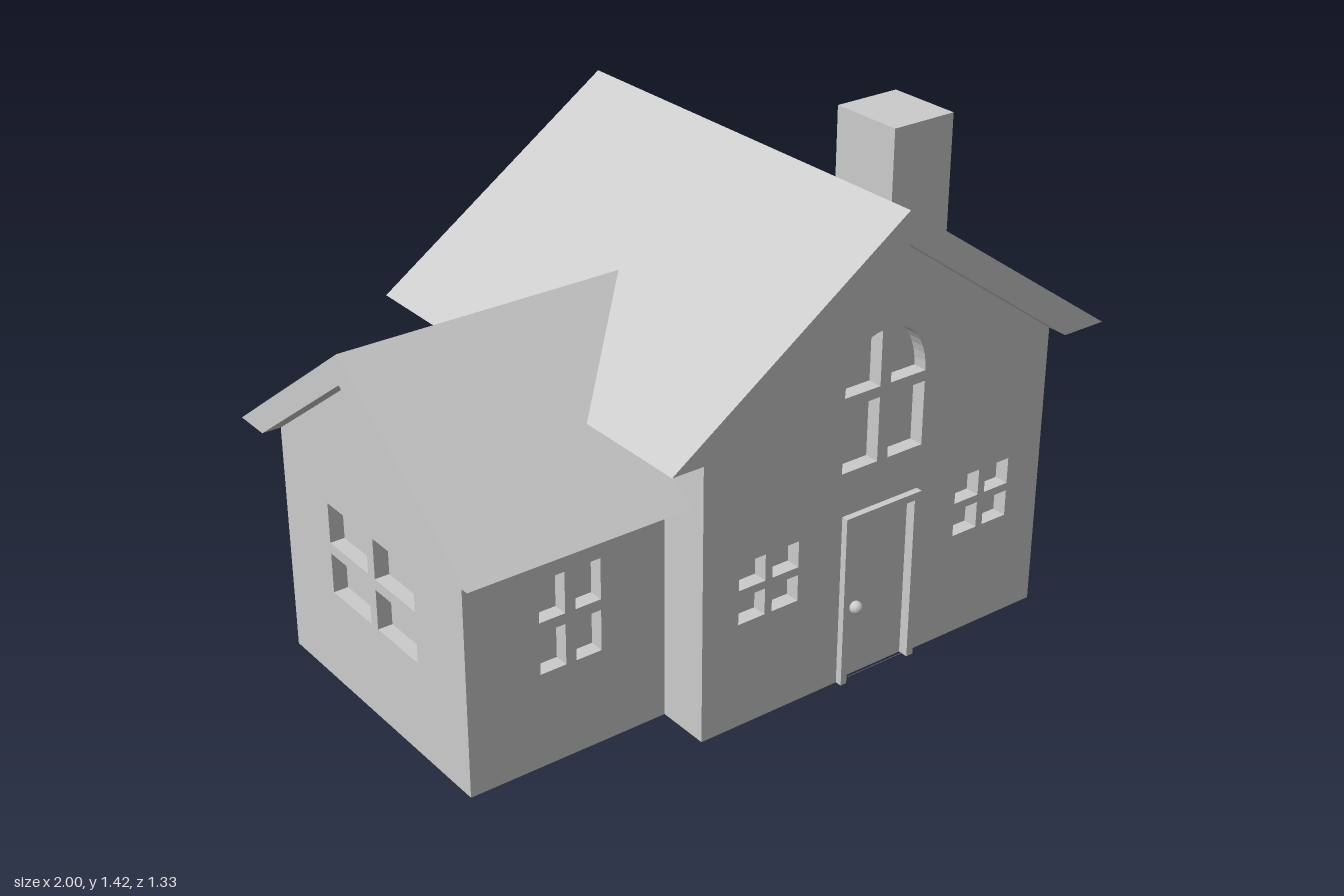
import * as THREE from 'three';

const material = new THREE.MeshStandardMaterial({ color: 0xcccccc, flatShading: true, side: THREE.DoubleSide });
const vec = (pts) => pts.map(([x, y]) => new THREE.Vector2(x, y));
const rect = (x0, y0, x1, y1) => [[x0, y0], [x1, y0], [x1, y1], [x0, y1]];

function mesh(name, geometry, x = 0, y = 0, z = 0) {
  const m = new THREE.Mesh(geometry, material);
  m.name = name;
  m.position.set(x, y, z);
  return m;
}

// Four-pane window: a list of pane outlines plus the outline of its casing
function fourPane(cx, cy, w, h, bar = 0.022) {
  const panes = [];
  for (const sx of [-1, 1]) for (const sy of [-1, 1]) {
    const xs = [cx + sx * bar / 2, cx + sx * w / 2].sort((a, b) => a - b);
    const ys = [cy + sy * bar / 2, cy + sy * h / 2].sort((a, b) => a - b);
    panes.push(rect(xs[0], ys[0], xs[1], ys[1]));
  }
  return { panes, casing: rect(cx - w / 2 - 0.015, cy - h / 2 - 0.015, cx + w / 2 + 0.015, cy + h / 2 + 0.015) };
}

// Arched window: two square panes below two quarter-round panes
function archWindow(cx) {
  const panes = [];
  const arc = (s, x, y, rx, ry, n = 10) => Array.from({ length: n + 1 }, (_, i) => {
    const a = (i / n) * Math.PI / 2;
    return [x + s * rx * Math.cos(a), y + ry * Math.sin(a)];
  });
  for (const s of [-1, 1]) {
    const inner = cx + s * 0.017, outer = cx + s * 0.14;
    panes.push(rect(Math.min(inner, outer), 0.645, Math.max(inner, outer), 0.835));
    panes.push([[inner, 0.865], ...arc(s, inner, 0.865, 0.123, 0.16)]);
  }
  const casing = [[cx - 0.15, 0.635], [cx + 0.15, 0.635],
    ...arc(1, cx, 0.865, 0.15, 0.172), ...arc(-1, cx, 0.865, 0.15, 0.172).reverse().slice(1)];
  return { panes, casing };
}

// Thin wall facing local +z, with window recesses set into its inner side
function wall(name, outline, windows = [], extraHoles = []) {
  const group = new THREE.Group();
  group.name = name;
  const shape = new THREE.Shape(vec(outline));
  for (const h of [...windows.flatMap((w) => w.panes), ...extraHoles]) shape.holes.push(new THREE.Path(vec(h)));
  group.add(mesh(name + 'Surface', new THREE.ShapeGeometry(shape)));
  for (const w of windows) {
    const frame = new THREE.Shape(vec(w.casing));
    w.panes.forEach((p) => frame.holes.push(new THREE.Path(vec(p))));
    group.add(mesh('windowCasing', new THREE.ExtrudeGeometry(frame, { depth: 0.043, bevelEnabled: false }), 0, 0, -0.045));
    group.add(mesh('windowPane', new THREE.ShapeGeometry(new THREE.Shape(vec(w.casing))), 0, 0, -0.045));
  }
  return group;
}

function place(object, x, z, turn = 0) {
  object.position.set(x, 0, z);
  object.rotation.y = turn;
  return object;
}

// Gabled roof slab: outer triangle minus the inner one, level at the eaves
function roofGeometry(outer, inner, eave, ridge, innerRidge, depth, cx = 0) {
  const shape = new THREE.Shape(vec([
    [cx - outer, eave], [cx - inner, eave], [cx, innerRidge],
    [cx + inner, eave], [cx + outer, eave], [cx, ridge]]));
  return new THREE.ExtrudeGeometry(shape, { depth, bevelEnabled: false });
}

export function createModel() {
  const house = new THREE.Group();
  house.name = 'house';

  // Main block
  const left = -0.335, right = 0.855, mid = 0.26, front = 0.605, back = -0.59;
  const gable = [[left, 0], [right, 0], [right, 0.86], [mid, 1.28], [left, 0.86]];
  const small = (x) => fourPane(x, 0.405, 0.2, 0.182);
  const doorway = rect(0.14, 0.002, 0.375, 0.502);
  house.add(place(wall('frontWall', gable, [small(-0.118), small(0.636), archWindow(mid)], [doorway]), 0, front));
  house.add(place(wall('backWall', gable.map(([x, y]) => [-x, y]), [small(-0.572), small(0.057)]), 0, back, Math.PI));
  house.add(place(wall('rightWall', rect(-front, 0, -back, 0.86), [small(-0.327), small(0.314)]), right, 0, Math.PI / 2));

  // Wall on either side of the opening into the wing
  for (const [s, edge] of [[1, front], [-1, -back]]) {
    const outline = [[edge, 0], [0.445, 0], [0.445, 0.68], [0.2, 0.86], [edge, 0.86]].map(([z, y]) => [s * z, y]);
    house.add(place(wall('innerSideWall', outline), left, 0, -Math.PI / 2));
  }
  house.add(mesh('mainRoof', roofGeometry(0.738, 0.595, 0.86, 1.37, 1.28, 1.33, mid), 0, 0, -0.665));

  // Side wing
  const end = -0.945, half = 0.445;
  house.add(place(wall('wingFrontWall', rect(end, 0, left, 0.68), [fourPane(-0.63, 0.417, 0.19, 0.275, 0.03)]), 0, half));
  house.add(place(wall('wingBackWall', rect(-left, 0, -end, 0.68), [fourPane(0.63, 0.417, 0.19, 0.275, 0.03)]), 0, -half, Math.PI));
  house.add(place(wall('wingEndWall', [[-half, 0], [half, 0], [half, 0.68], [0, 1], [-half, 0.68]],
    [fourPane(0, 0.417, 0.43, 0.275, 0.03)]), end, 0, -Math.PI / 2));

  // Wing roof, its inner end slanted to die into the main roof
  const wingRoof = roofGeometry(0.56, half, 0.68, 1.085, 1.0, 0.665);
  wingRoof.rotateY(Math.PI / 2).translate(-1, 0, 0);
  const p = wingRoof.attributes.position;
  for (let i = 0; i < p.count; i++) {
    if (p.getX(i) > -0.5) p.setX(i, left + ((p.getY(i) - 0.68) / 0.405) * 0.185);
  }
  wingRoof.computeVertexNormals();
  house.add(mesh('wingRoof', wingRoof));

  // Chimney, its foot cut to the roof slope
  const chimney = new THREE.BoxGeometry(0.21, 0.4, 0.23).translate(0.63, 1.22, 0.195);
  const c = chimney.attributes.position;
  for (let i = 0; i < c.count; i++) {
    if (c.getY(i) < 1.2) c.setY(i, 1.37 - 0.69 * (c.getX(i) - mid) - 0.04);
  }
  chimney.computeVertexNormals();
  house.add(mesh('chimney', chimney));

  // Door, frame and knobs
  const door = new THREE.Group();
  door.name = 'door';
  door.add(mesh('doorPanel', new THREE.BoxGeometry(0.235, 0.5, 0.02), 0.2575, 0.25, 0.585));
  const frame = new THREE.Shape(vec([[0.127, 0], [0.147, 0], [0.147, 0.495], [0.367, 0.495],
    [0.367, 0], [0.39, 0], [0.39, 0.517], [0.127, 0.517]]));
  door.add(mesh('doorFrame', new THREE.ExtrudeGeometry(frame, { depth: 0.035, bevelEnabled: false }), 0, 0, 0.59));
  for (const z of [0.605, 0.565]) {
    door.add(mesh('doorKnob', new THREE.SphereGeometry(0.019, 16, 12), 0.19, 0.215, z));
  }
  house.add(door);
  return house;
}
